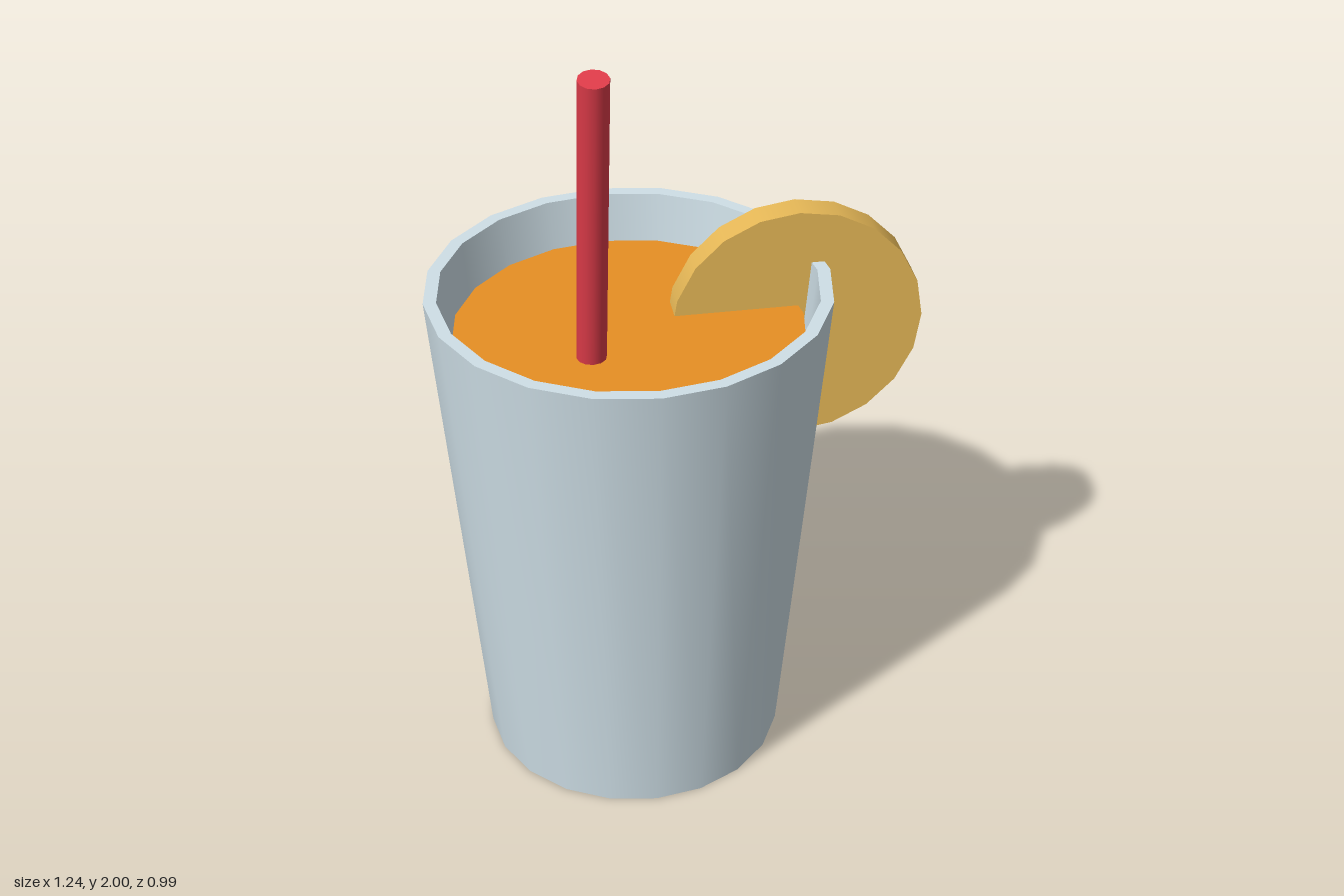
import * as THREE from 'three';
import { toCreasedNormals } from 'three/addons/utils/BufferGeometryUtils.js';

const SIDES = 20;
const CUP_X = -0.125;

function material(name, color) {
  const m = new THREE.MeshStandardMaterial({ color });
  m.name = name;
  return m;
}

function part(name, geometry, mat) {
  const mesh = new THREE.Mesh(geometry, mat);
  mesh.name = name;
  return mesh;
}

export function createModel() {
  const group = new THREE.Group();
  group.name = 'drink';

  const glass = material('pale blue grey', 0xd3e4ec);
  const juice = material('orange', 0xfb9c28);
  const citrus = material('yellow', 0xfac85f);
  const red = material('red', 0xe03c4a);

  // Tapered cup: one closed profile for base, outer wall, rim, inner wall and floor
  const profile = [
    [0, 0], [0.382, 0], [0.497, 1.31], [0.465, 1.31], [0.352, 0.04], [0, 0.04],
  ].map(([r, y]) => new THREE.Vector2(r, y));
  const cup = part('cup', toCreasedNormals(new THREE.LatheGeometry(profile, SIDES), Math.PI / 6), glass);
  cup.position.x = CUP_X;
  group.add(cup);

  // Drink, slightly narrower than the inner wall
  const level = 1.19;
  const drink = part('liquid', new THREE.CylinderGeometry(0.434, 0.335, level - 0.05, SIDES), juice);
  drink.position.set(CUP_X, (level + 0.05) / 2, 0);
  group.add(drink);

  // Straw leaning 10 degrees towards the front
  const length = 1.6;
  const strawGeometry = new THREE.CylinderGeometry(0.037, 0.037, length, 12);
  strawGeometry.translate(0, -length / 2, 0);
  const straw = part('straw', strawGeometry, red);
  straw.position.set(-0.233, 1.993, 0.252);
  straw.rotation.x = THREE.MathUtils.degToRad(10);
  group.add(straw);

  // Round citrus slice straddling the rim
  const sliceGeometry = new THREE.CylinderGeometry(0.318, 0.318, 0.07, SIDES);
  sliceGeometry.rotateX(Math.PI / 2);
  const slice = part('citrusSlice', sliceGeometry, citrus);
  slice.position.set(0.302, 1.133, -0.073);
  group.add(slice);

  return group;
}
